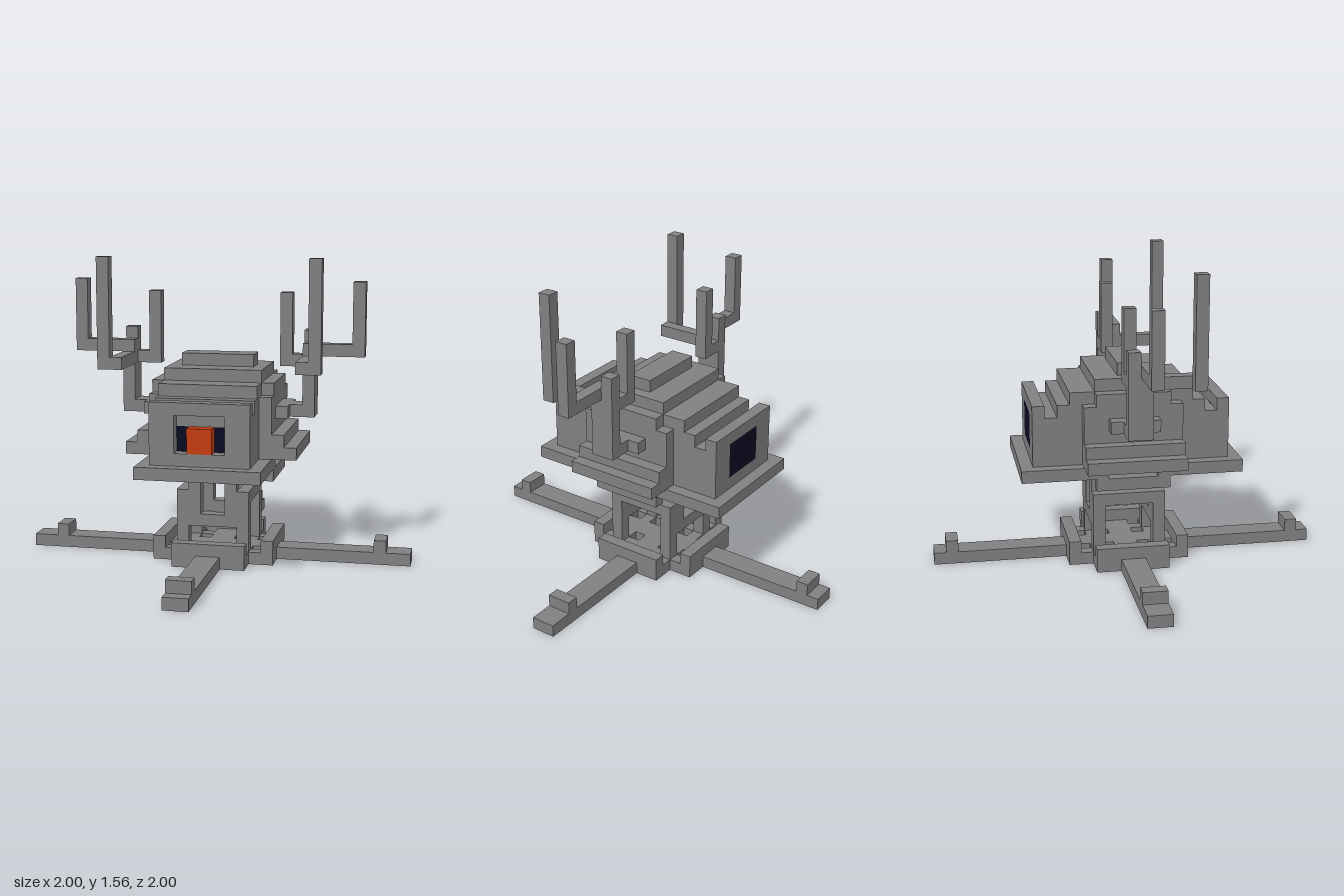
import * as THREE from 'three';

const U = 1 / 16; // one block

export function createModel() {
  const model = new THREE.Group();
  const make = (name, color) => {
    const m = new THREE.MeshStandardMaterial({ color });
    m.name = name;
    return m;
  };
  const grey = make('stoneGrey', 0x808080);
  const dark = make('darkNavy', 0x0b0b22);
  const orange = make('burntOrange', 0xc43c10);

  const group = (name) => {
    const g = new THREE.Group();
    g.name = name;
    model.add(g);
    return g;
  };
  // Box given by its block ranges
  const box = (parent, name, x0, x1, y0, y1, z0, z1, mat = grey) => {
    const mesh = new THREE.Mesh(new THREE.BoxGeometry((x1 - x0) * U, (y1 - y0) * U, (z1 - z0) * U), mat);
    mesh.position.set((x0 + x1) / 2 * U, (y0 + y1) / 2 * U, (z0 + z1) / 2 * U);
    mesh.name = name;
    parent.add(mesh);
  };
  // Same box repeated at +x and -x, or at +z and -z
  const mirX = (p, n, a, b, ...r) => { box(p, n, a, b, ...r); box(p, n, -b, -a, ...r); };
  const mirZ = (p, n, x0, x1, y0, y1, a, b) => {
    box(p, n, x0, x1, y0, y1, a, b);
    box(p, n, x0, x1, y0, y1, -b, -a);
  };
  const mirXZ = (p, n, a, b, ...r) => { mirZ(p, n, a, b, ...r); mirZ(p, n, -b, -a, ...r); };

  // Cross-shaped base with foot stops and a frame
  const base = group('base');
  box(base, 'legAcross', -16, 16, 0, 1, -1, 1);
  mirZ(base, 'legLengthwise', -1, 1, 0, 1, 1, 16);
  mirX(base, 'sideFootStop', 13, 14, 1, 2, -1, 1);
  mirZ(base, 'endFootStop', -1, 1, 1, 2, 14, 15);
  mirX(base, 'sideFrameBar', 4, 5, 0, 2, -3, 3);
  mirZ(base, 'endFrameBar', -3, 3, 0, 2, 4, 5);
  mirX(base, 'latticeBar', 2, 3, 0, 1, -4, 4);
  mirZ(base, 'latticeCrossBar', -4, 4, 0, 1, 2, 3);

  // Open tower
  const tower = group('tower');
  mirXZ(tower, 'cornerPost', 2, 3, 1, 6, 2, 3);
  mirX(tower, 'sideRail', 2, 3, 5, 6, -2, 2);
  mirZ(tower, 'archSill', -2, 2, 3, 4, 2, 3);
  mirXZ(tower, 'archPost', 1, 2, 4, 8, 2, 3);
  mirZ(tower, 'archTop', -1, 1, 7, 8, 2, 3);

  // Platform ring, open at the middle of each side above a hanging bracket
  const platform = group('platform');
  mirZ(platform, 'platformEnd', -5, 5, 8, 9, 7, 9);
  mirXZ(platform, 'platformSide', 3, 5, 8, 9, 2, 7);
  mirZ(platform, 'platformCrossBar', -3, 3, 8, 9, 2, 3);
  mirX(platform, 'sideBracket', 4, 5, 7, 8, -3, 3);

  // Hollow body with a stepped roof
  const body = group('body');
  mirX(body, 'sideWall', 4, 5, 9, 15, -3, 3);
  mirXZ(body, 'sideWallEnd', 4, 5, 9, 14, 3, 4);
  mirX(body, 'lowerSkirt', 5, 7, 9, 10, -4, 4);
  mirX(body, 'upperSkirt', 5, 6, 10, 11, -4, 4);
  box(body, 'roof', -4, 4, 15, 16, -3, 3);
  box(body, 'roofCap', -3, 3, 16, 17, -1, 1);
  for (const [z0, z1, top] of [[3, 5, 15], [5, 6, 14], [6, 7, 13]]) {
    mirZ(body, 'roofStep', -4, 4, top - 1, top, z0, z1);
    mirXZ(body, 'endSideWall', 3, 4, 9, top - 1, z0, z1);
  }
  mirXZ(body, 'roofStepEdge', 4, 5, 13, 14, 3, 4);
  mirXZ(body, 'doorJamb', 2, 4, 9, 14, 7, 8);
  mirZ(body, 'doorSill', -2, 2, 9, 10, 7, 8);
  mirZ(body, 'doorLintel', -2, 2, 13, 14, 7, 8);

  // Front recess with glowing block, flush rear panel
  box(body, 'frontDarkPanel', -2, 2, 10, 13, 6.9, 7, dark);
  box(body, 'glowingBlock', -1, 1, 10, 12, 6, 8, orange);
  box(body, 'rearDarkPanel', -2, 2, 10, 13, -8, -7.9, dark);

  // Branching antlers
  const antlers = group('antlers');
  mirX(antlers, 'antlerMount', 5, 6, 12, 13, -2, 2);
  mirX(antlers, 'antlerArm', 6, 7, 12, 13, -1, 1);
  mirX(antlers, 'antlerTrunk', 7, 8, 12, 17, -1, 1);
  mirX(antlers, 'antlerTrunkTip', 7, 8, 17, 19, -1, 0);
  mirX(antlers, 'innerBranch', 6, 7, 16, 17, -1, 0);
  mirX(antlers, 'innerTine', 5, 6, 16, 22, -1, 0);
  mirX(antlers, 'frontBranch', 7, 8, 16, 17, 1, 5);
  mirX(antlers, 'frontTine', 8, 9, 16, 25, 4, 5);
  mirX(antlers, 'outerBranch', 7, 11, 17, 18, 0, 1);
  mirX(antlers, 'outerTine', 11, 12, 17, 23, 0, 1);

  return model;
}
